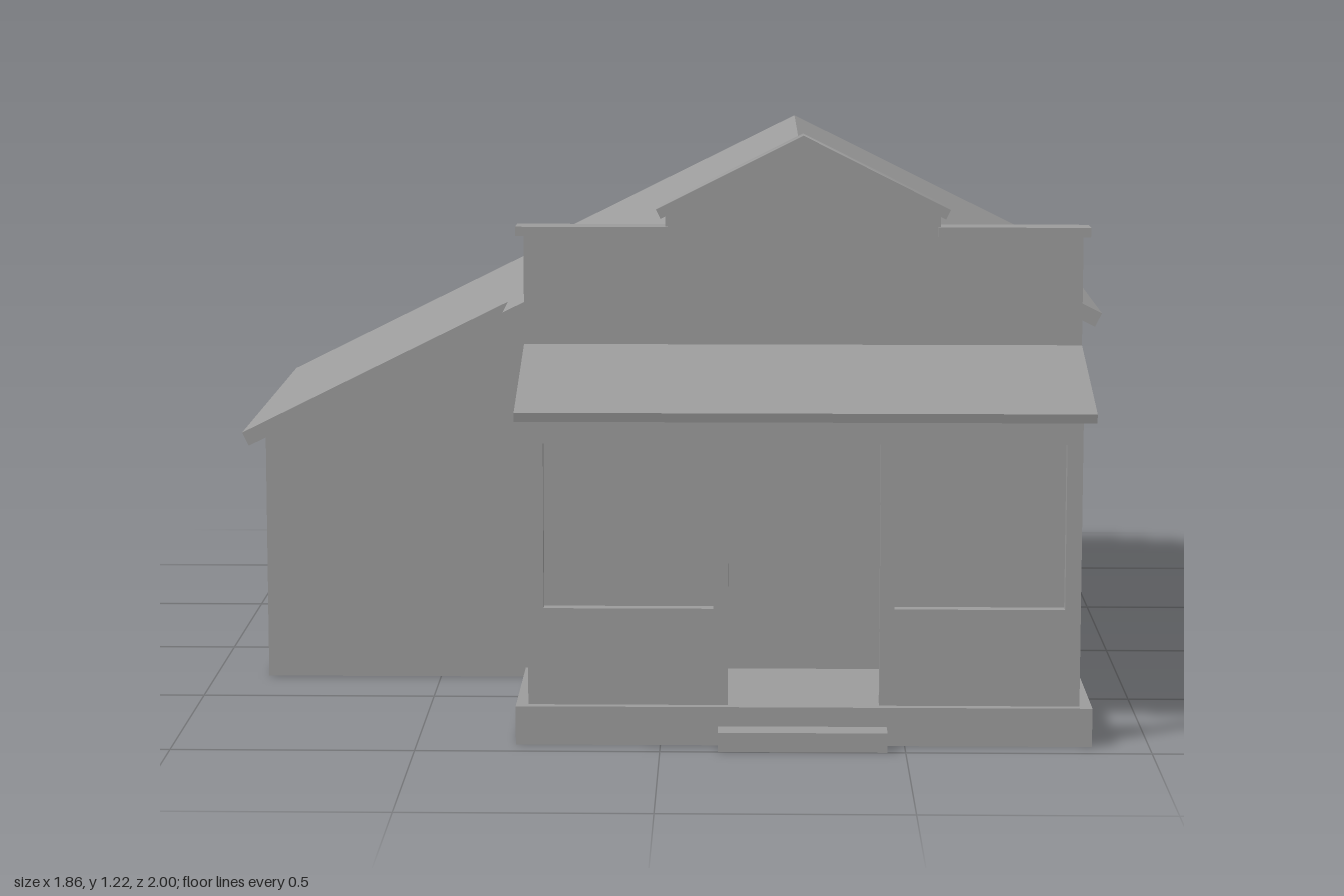
import * as THREE from 'three';
import { toCreasedNormals } from 'three/addons/utils/BufferGeometryUtils.js';

const material = new THREE.MeshStandardMaterial({ color: 0x9b9b9b, side: THREE.DoubleSide });

// Roof plane: ridge position, pitch and vertical thickness
const RIDGE_X = 0.293, RIDGE_Y = 1.158, PITCH = 0.496, THICK = 0.036;
const roofTop = x => RIDGE_Y - PITCH * Math.abs(x - RIDGE_X);

export function createModel() {
  const model = new THREE.Group();
  model.name = 'storefrontHouse';

  const add = (name, geometry) => {
    const mesh = new THREE.Mesh(geometry, material);
    mesh.name = name;
    model.add(mesh);
    return mesh;
  };

  const polygon = points => new THREE.Shape(points.map(p => new THREE.Vector2(...p)));
  const rectangle = (x0, x1, y0, y1) => [[x0, y0], [x1, y0], [x1, y1], [x0, y1]];

  // Extrude an xy outline between two z positions
  const prism = (name, points, z0, z1, holes = []) => {
    const shape = polygon(points);
    shape.holes = holes.map(polygon);
    const geometry = new THREE.ExtrudeGeometry(shape, { depth: z1 - z0, bevelEnabled: false });
    return add(name, geometry.translate(0, 0, z0));
  };

  // Hollow block standing on the ground, without an underside
  const openBlock = (name, x0, x1, height, z0, z1) => {
    const geometry = new THREE.BoxGeometry(x1 - x0, height, z1 - z0);
    const index = Array.from(geometry.index.array);
    index.splice(18, 6);
    geometry.setIndex(index);
    geometry.clearGroups();
    add(name, geometry.translate((x0 + x1) / 2, height / 2, (z0 + z1) / 2));
  };

  // Walls follow the closed plan and reach the roof underside
  const plan = [
    [0.883, 0.572], [0.883, -0.873], [RIDGE_X, -0.873], [-0.297, -0.873], [-0.297, -0.65],
    [-0.883, -0.65], [-0.883, 0.3], [-0.297, 0.3], [-0.297, 0.572],
  ];
  const corners = [];
  plan.forEach(([ax, az], i) => {
    const [bx, bz] = plan[(i + 1) % plan.length];
    const a0 = [ax, 0, az], a1 = [ax, roofTop(ax) - THICK, az];
    const b0 = [bx, 0, bz], b1 = [bx, roofTop(bx) - THICK, bz];
    corners.push(...a0, ...b0, ...b1, ...a0, ...b1, ...a1);
  });
  const walls = new THREE.BufferGeometry();
  walls.setAttribute('position', new THREE.Float32BufferAttribute(corners, 3));
  walls.computeVertexNormals();
  add('houseWalls', walls);

  // Gable roof and the lean-to slab continuing its left slope
  const eave = (x, side) => [
    [x, roofTop(x)],
    [x - side * 0.0145, roofTop(x) - 0.029],
  ];
  const [rightTop, rightLow] = eave(0.928, 1);
  const [leftTop, leftLow] = eave(-0.345, -1);
  const [leanTop, leanLow] = eave(-0.93, -1);
  prism('mainRoof', [leftTop, leftLow, [RIDGE_X, RIDGE_Y - THICK], rightLow, rightTop, [RIDGE_X, RIDGE_Y]], -0.912, 0.53);
  prism('leanToRoof', [leanTop, leanLow, leftLow, leftTop], -0.692, 0.338);

  // False front with stepped gable
  prism('falseFront', [
    [-0.297, 0.77], [0.883, 0.77], [0.883, 1.01], [0.583, 1.01], [0.583, 1.055],
    [RIDGE_X, 1.2], [0.003, 1.055], [0.003, 1.01], [-0.297, 1.01],
  ], 0.53, 0.572);

  // Coping along the top of the false front, softly shaded over the peak
  const gableCoping = prism('gableCoping', [
    [-0.017, 1.067], [-0.007, 1.047], [RIDGE_X, 1.2], [0.593, 1.047], [0.603, 1.067], [RIDGE_X, 1.223],
  ], 0.515, 0.58);
  gableCoping.geometry = toCreasedNormals(gableCoping.geometry, 1.1);
  for (const [name, x0, x1] of [['rightCoping', -0.314, 0.008], ['leftCoping', 0.578, 0.898]])
    prism(name, rectangle(x0, x1, 1.01, 1.03), 0.515, 0.58);

  // Porch floor and steps
  openBlock('porchFloor', -0.297, 0.883, 0.08, 0.572, 0.942);
  openBlock('frontStep', 0.118, 0.463, 0.04, 0.942, 1);
  openBlock('backStepUpper', -0.163, 0.143, 0.08, -0.937, -0.873);
  openBlock('backStepLower', -0.163, 0.143, 0.04, -1, -0.937);

  // Porch screen with two window openings and a doorway
  prism('porchScreen', [
    [-0.272, 0.08], [0.138, 0.08], [0.138, 0.622], [0.448, 0.622], [0.448, 0.08],
    [0.858, 0.08], [0.858, 0.676], [-0.272, 0.676],
  ], 0.895, 0.922, [
    rectangle(-0.24, 0.108, 0.281, 0.622),
    rectangle(0.478, 0.826, 0.281, 0.622),
  ]);

  // Pieces outlined in side profile (z, y), extruded along x
  const sideProfile = (name, points, x0, x1) => {
    const mesh = prism(name, points.map(([z, y]) => [-z, y]), 0, x1 - x0);
    mesh.rotation.y = Math.PI / 2;
    mesh.position.x = x0;
  };
  sideProfile('porchRoof', [[0.572, 0.78], [0.955, 0.69], [0.951, 0.671], [0.572, 0.76]], -0.297, 0.883);
  sideProfile('porchCeiling', [[0.572, 0.622], [0.895, 0.622], [0.895, 0.684], [0.572, 0.76]], -0.272, 0.858);

  return model;
}
